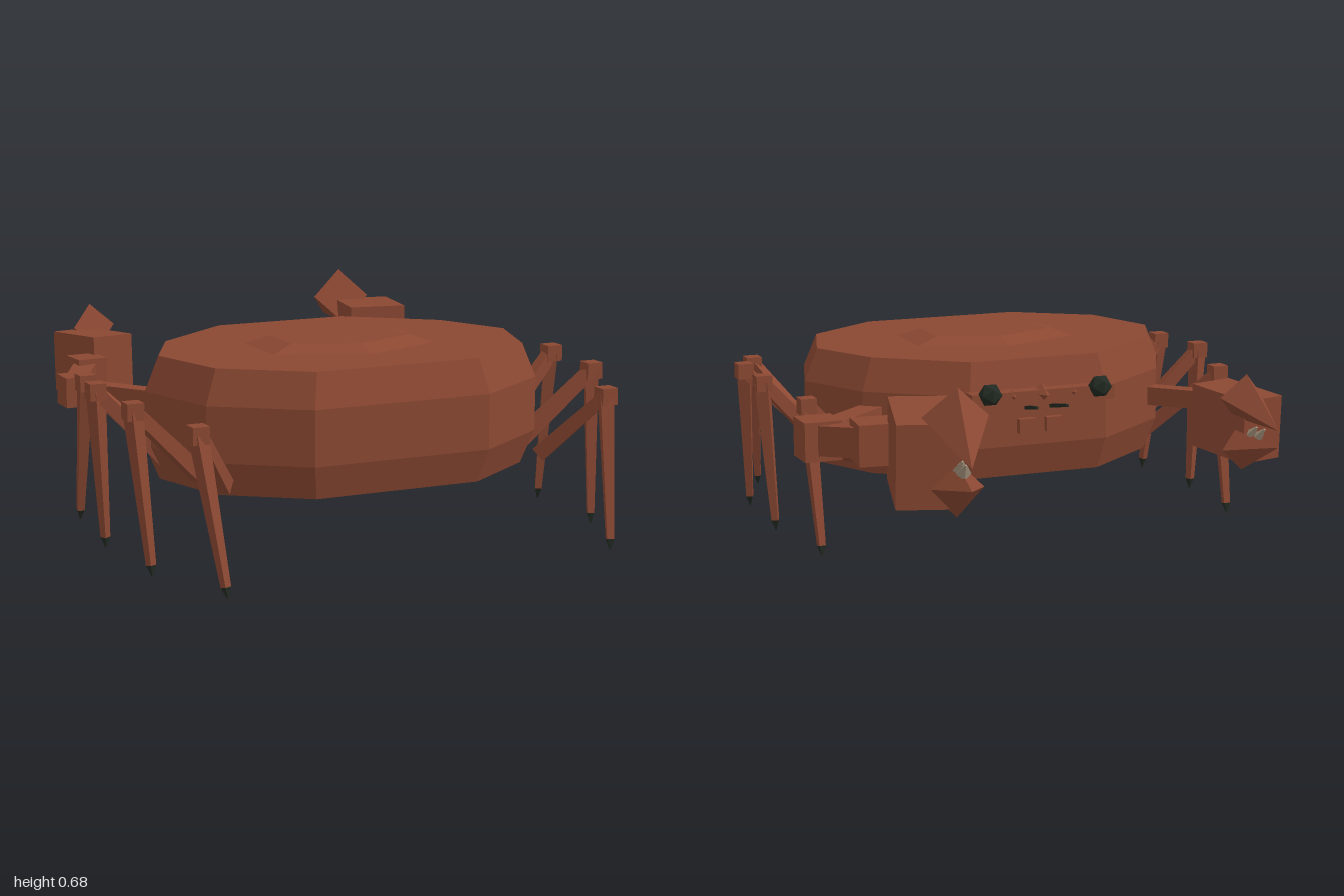
import * as THREE from 'three';
import { ConvexGeometry } from 'three/addons/geometries/ConvexGeometry.js';

const mat = (name, color) => {
  const m = new THREE.MeshStandardMaterial({ color, flatShading: true });
  m.name = name;
  return m;
};

export function createModel() {
  const shell = mat('rust shell', 0x8b4832);
  const dark = mat('dark green black', 0x222a22);
  const pale = mat('pale belly', 0xa8957e);
  const crab = new THREE.Group();
  crab.name = 'crab';

  const add = (name, geometry, material, pos = [0, 0, 0], parent = crab) => {
    const mesh = new THREE.Mesh(geometry, material);
    mesh.name = name;
    mesh.position.set(...pos);
    parent.add(mesh);
    return mesh;
  };
  const box = (name, size, pos, material = shell, parent = crab) =>
    add(name, new THREE.BoxGeometry(...size), material, pos, parent);

  // Four-sided tapering bar between two points, square or diamond in section
  const beam = (name, a, b, ra, rb, material = shell, diamond = false, parent = crab) => {
    const from = new THREE.Vector3(...a), to = new THREE.Vector3(...b);
    const g = new THREE.CylinderGeometry(rb, ra, from.distanceTo(to), 4);
    if (!diamond) g.rotateY(Math.PI / 4);
    g.rotateX(Math.PI / 2);
    const mesh = add(name, g, material, from.clone().lerp(to, 0.5).toArray(), parent);
    mesh.lookAt(to);
    return mesh;
  };

  // Carapace: ten-sided outline with bevelled top and bottom
  const half = [[0.305, 0.825], [0.585, 0.63], [0.675, 0.335], [0.55, 0.08], [0.25, -0.15]];
  const points = [];
  for (const [y, s] of [[0.23, 0.93], [0.34, 1], [0.52, 1], [0.632, 0.93]])
    for (const [x, z] of half)
      for (const side of [-1, 1])
        points.push(new THREE.Vector3(side * x * s, y, 0.335 + (z - 0.335) * s));
  add('carapace', new ConvexGeometry(points), shell);

  // Raised hexagon on the back
  const dome = add('backRidge', new THREE.CylinderGeometry(0.72, 1, 0.027, 6), shell, [0, 0.644, 0.355]);
  dome.scale.set(0.338, 1, 0.238);

  // Abdomen flap underneath
  box('bellyPlateRear', [0.34, 0.008, 0.25], [0, 0.227, 0.57], pale);
  box('bellyPlateFront', [0.2, 0.008, 0.14], [0, 0.227, 0.375], pale);
  const tip = add('bellyTip', new THREE.ConeGeometry(0.045, 0.02, 4), pale, [0, 0.222, 0.22]);
  tip.rotation.x = Math.PI;

  // Face: brow shelf, spines, feelers and mouth parts
  box('brow', [0.52, 0.05, 0.08], [0, 0.51, -0.155]);
  beam('noseSpine', [0, 0.52, -0.17], [0, 0.52, -0.225], 0.035, 0.001, shell, true);
  for (const s of [-1, 1]) {
    beam('browSpine', [s * 0.11, 0.52, -0.18], [s * 0.11, 0.52, -0.21], 0.02, 0.001, shell, true);
    beam('eyeStalk', [s * 0.2, 0.5, -0.17], [s * 0.2, 0.53, -0.21], 0.026, 0.022);
    add('eye', new THREE.IcosahedronGeometry(0.041, 0), dark, [s * 0.2, 0.535, -0.208]);
    beam('feeler', [s * 0.045, 0.47, -0.15], [s * 0.055, 0.49, -0.265], 0.01, 0.007, dark);
    box('mouthPart', [0.06, 0.05, 0.04], [s * 0.05, 0.41, -0.155]);
  }

  // Walking legs: hip, knee and foot for each pair, front to rear
  const legs = [
    [[0.56, 0.28, 0.18], [0.765, 0.5, 0.02], [0.755, 0.01, -0.09]],
    [[0.6, 0.28, 0.35], [0.832, 0.53, 0.312], [0.8, 0.01, 0.295]],
    [[0.57, 0.28, 0.54], [0.815, 0.52, 0.603], [0.785, 0.01, 0.675]],
    [[0.56, 0.28, 0.71], [0.708, 0.49, 0.87], [0.665, 0.01, 0.99]],
  ];
  for (const s of [-1, 1])
    legs.forEach((leg, i) => {
      const g = new THREE.Group();
      g.name = (s > 0 ? 'leftLeg' : 'rightLeg') + (i + 1);
      crab.add(g);
      const [hip, knee, foot] = leg.map(([x, y, z]) => [s * x, y, z]);
      const ankle = knee.map((v, k) => v + (foot[k] - v) * 0.93);
      beam('thigh', hip, knee, 0.036, 0.028, shell, false, g);
      box('knee', [0.055, 0.055, 0.055], knee, shell, g);
      beam('shin', knee, ankle, 0.032, 0.016, shell, false, g);
      beam('footTip', ankle, foot, 0.016, 0.002, dark, false, g);
    });

  // Claw arms: the left one is larger
  const arm = (name, p) => {
    const g = new THREE.Group();
    g.name = name;
    crab.add(g);
    const k = p.size;
    beam('upperArm', p.shoulder, p.elbow, 0.058 * k, 0.058 * k, shell, false, g);
    box('elbow', [0.125 * k, 0.13 * k, 0.125 * k], p.elbow, shell, g);
    beam('forearm', p.elbow, p.wrist, 0.07 * k, 0.07 * k, shell, false, g);
    box('wrist', [0.135 * k, 0.135 * k, 0.135 * k], p.wrist, shell, g).rotation.y = p.turn * 0.4;
    const palm = box('palm', [0.2 * k, 0.27 * k, 0.345 * k], p.palm, shell, g);
    palm.rotation.set(-0.06, p.turn, 0);
    const [bx, bz] = p.base, [tx, tz] = p.tip, y = p.palm[1];
    beam('upperFinger', [bx, y + 0.14 * k, bz], [tx, y + 0.035 * k, tz], 0.105 * k, 0.001, shell, true, g);
    beam('lowerFinger', [bx, y - 0.085 * k, bz], [tx, y - 0.035 * k, tz], 0.09 * k, 0.001, shell, true, g);
    // Pale teeth between the fingers
    for (const t of [0.3, 0.5])
      beam('tooth', [bx + (tx - bx) * t, y - 0.01, bz + (tz - bz) * t],
        [bx + (tx - bx) * (t + 0.15), y + 0.025 * k, bz + (tz - bz) * (t + 0.15)], 0.024 * k, 0.004, pale, true, g);
  };
  arm('leftClawArm', {
    size: 1, shoulder: [0.5, 0.43, 0.09], elbow: [0.793, 0.435, -0.185], wrist: [0.665, 0.455, -0.385],
    palm: [0.577, 0.455, -0.59], turn: -0.26, base: [0.53, -0.745], tip: [0.575, -1.0],
  });
  arm('rightClawArm', {
    size: 0.78, shoulder: [-0.5, 0.43, 0.09], elbow: [-0.73, 0.435, -0.185], wrist: [-0.62, 0.455, -0.385],
    palm: [-0.54, 0.455, -0.545], turn: 0.22, base: [-0.495, -0.66], tip: [-0.53, -0.855],
  });
  return crab;
}
